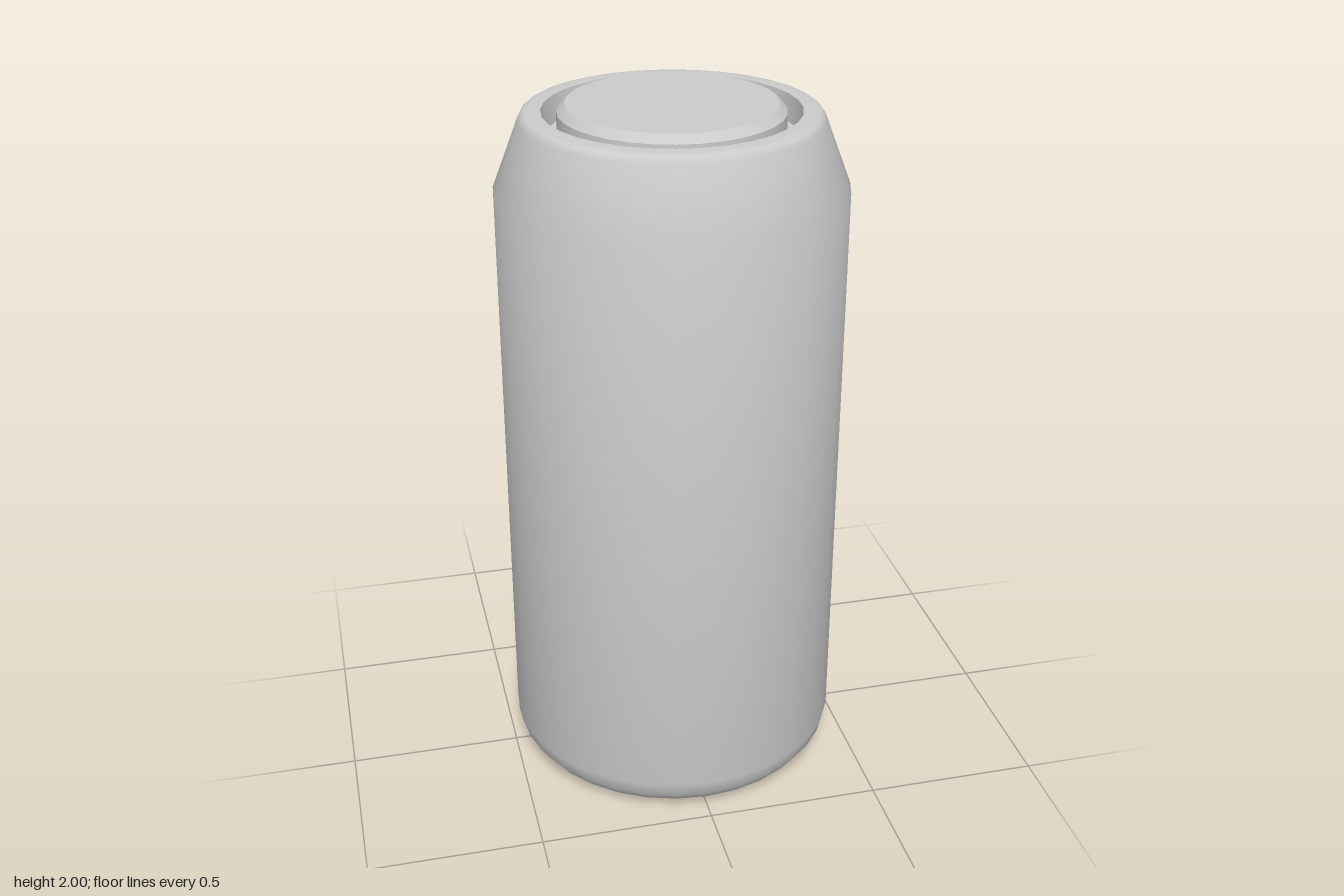
import * as THREE from 'three';
import { toCreasedNormals } from 'three/addons/utils/BufferGeometryUtils.js';

const SIDES = 32;
const CREASE = 0.7;

// Turns a [radius, height] profile around the y axis, keeping sharp edges sharp.
function turned(name, profile, material) {
  const points = profile.map(([r, y]) => new THREE.Vector2(r, y));
  const geometry = toCreasedNormals(new THREE.LatheGeometry(points, SIDES), CREASE);
  const mesh = new THREE.Mesh(geometry, material);
  mesh.name = name;
  return mesh;
}

export function createModel() {
  const group = new THREE.Group();
  group.name = 'can';
  const material = new THREE.MeshStandardMaterial({ color: 0xcccccc });

  // Body: recessed base, rounded foot, straight wall, sloped shoulder, rim and groove
  group.add(turned('body', [
    [0, 0.06], [0.255, 0.06], [0.285, 0.03], [0.32, 0.008], [0.36, 0],
    [0.385, 0.002], [0.42, 0.011], [0.451, 0.034], [0.476, 0.068], [0.485, 0.11],
    [0.485, 1.77],
    [0.412, 1.96], [0.406, 1.972], [0.397, 1.979], [0.385, 1.981], [0.35, 1.981],
    [0.34, 1.91], [0.308, 1.91],
  ], material));

  // Lid: raised disc with a bevelled edge
  group.add(turned('lid', [
    [0.308, 1.91], [0.308, 1.978], [0.287, 2], [0, 2],
  ], material));

  return group;
}
